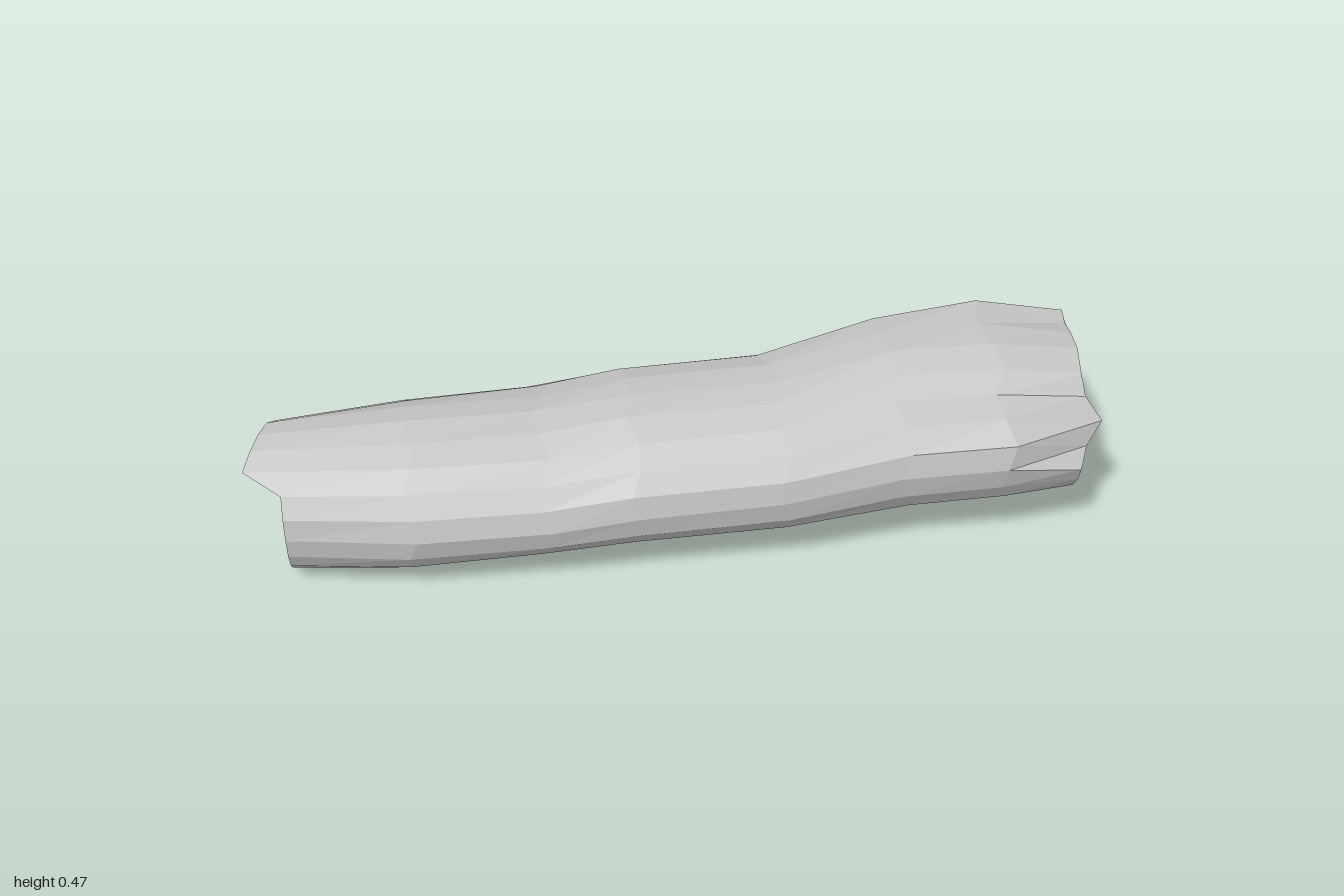
import * as THREE from 'three';

const N = 20; // points round the trunk

// Trunk sections: x, bottom y, top y, back z, front z, bulge at the upper back, dent at the upper front
const SECTIONS = [
  [-0.93, 0.00, 0.352, -0.03, 0.32, 0, 0],
  [-0.64, 0.015, 0.375, -0.105, 0.352, 0, 0.03],
  [-0.33, 0.035, 0.373, -0.168, 0.322, 0, 0.02],
  [-0.12, 0.053, 0.408, -0.188, 0.302, 0.03, 0.03],
  [0.22, 0.066, 0.42, -0.228, 0.26, 0.05, 0.05],
  [0.50, 0.078, 0.465, -0.30, 0.20, 0.13, 0.14],
  [0.74, 0.088, 0.47, -0.32, 0.172, 0.28, 0.19],
];

// Broken right end, as z, y, x, anticlockwise from the front
const BROKEN_END = [
  [0.12, 0.242, 0.95], [0.075, 0.28, 0.965], [0.042, 0.33, 1.0], [0.012, 0.378, 0.96],
  [-0.02, 0.42, 0.95], [-0.10, 0.44, 0.95], [-0.17, 0.437, 0.945], [-0.23, 0.425, 0.94],
  [-0.28, 0.43, 0.94], [-0.33, 0.35, 0.94], [-0.35, 0.28, 0.935], [-0.345, 0.23, 0.935],
  [-0.335, 0.18, 0.935], [-0.30, 0.155, 0.94], [-0.18, 0.132, 0.94], [-0.12, 0.092, 0.95],
  [-0.05, 0.10, 0.95], [0.01, 0.12, 0.95], [0.06, 0.15, 0.95], [0.10, 0.20, 0.95],
];

// x of the splintered lip on the open left end, by point index
const LIP = { 3: -1.0, 4: -0.988, 5: -0.978, 6: -0.968, 7: -0.96 };

const bump = (a, centre) => Math.exp(-(((a - centre) / 0.4) ** 2));

function makeRings() {
  const rings = SECTIONS.map(([x, y0, y1, z0, z1, bulge, dent], i) => {
    const ring = [];
    for (let j = 0; j < N; j++) {
      const a = (j / N) * Math.PI * 2;
      // slight bark unevenness on the upper half
      const uneven = Math.sin(a) > 0 ? 0.01 * Math.sin(j * 2.4 + i * 1.7) : 0;
      const r = 1 + uneven + bulge * bump(a, 2.35) - dent * bump(a, 0.95);
      const dz = ((z1 - z0) / 2) * Math.cos(a) * r;
      const dy = ((y1 - y0) / 2) * Math.sin(a) * r;
      const stagger = i > 0 ? 0.015 * Math.sin(j * 1.9 + i) : 0;
      let px = x + 0.14 * dz + stagger;
      if (i === 0 && LIP[j] !== undefined) px = LIP[j];
      ring.push(new THREE.Vector3(px, Math.max(0, (y0 + y1) / 2 + dy), (z0 + z1) / 2 + dz));
    }
    return ring;
  });
  rings.push(BROKEN_END.map(([z, y, x]) => new THREE.Vector3(x, y, z)));
  return rings;
}

function facetGeometry(points) {
  const geometry = new THREE.BufferGeometry().setFromPoints(points);
  geometry.computeVertexNormals();
  return geometry;
}

// Side surface joining the sections
function barkGeometry(rings) {
  const pts = [];
  for (let i = 0; i < rings.length - 1; i++) {
    for (let j = 0; j < N; j++) {
      const k = (j + 1) % N;
      const a = rings[i][j], b = rings[i + 1][j], c = rings[i + 1][k], d = rings[i][k];
      pts.push(a, b, c, a, c, d);
    }
  }
  return facetGeometry(pts);
}

// Flat face closing the right end, behind the splinter
function cutGeometry(ring) {
  const onCut = (y, z) => new THREE.Vector3(0.948 + 0.035 * Math.min(0, z + 0.03), y, z);
  const mid = onCut(0.27, -0.12);
  const rim = ring.map((p) => onCut(p.y, p.z));
  return facetGeometry(rim.flatMap((p, j) => [mid, rim[(j + 1) % N], p]));
}

export function createModel() {
  const log = new THREE.Group();
  log.name = 'log';
  const wood = new THREE.MeshStandardMaterial({ color: 0xc4c4c4, flatShading: true, side: THREE.DoubleSide });
  wood.name = 'grey wood';

  const rings = makeRings();
  const add = (name, geometry) => {
    const mesh = new THREE.Mesh(geometry, wood);
    mesh.name = name;
    log.add(mesh);
  };
  add('bark', barkGeometry(rings));
  add('rightCutFace', cutGeometry(rings[rings.length - 1]));
  return log;
}
